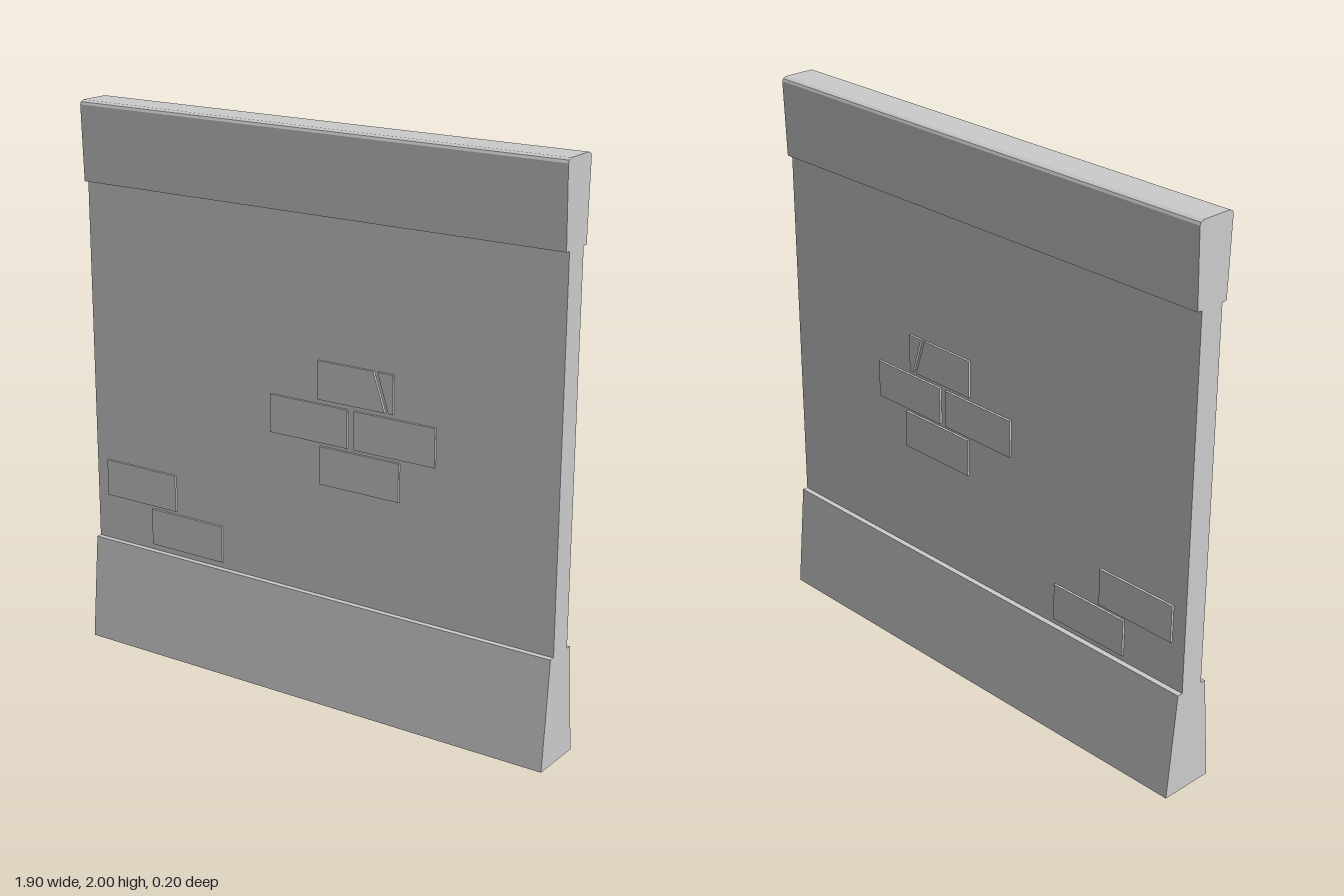
import * as THREE from 'three';

const LENGTH = 1.9;
const material = new THREE.MeshStandardMaterial({ color: 0xcccccc, flatShading: true });

function addMesh(parent, geometry, name) {
  const mesh = new THREE.Mesh(geometry, material);
  mesh.name = name;
  parent.add(mesh);
}

// Extrude a polygon, centred on its depth
function prism(points, depth) {
  const shape = new THREE.Shape(points.map(([x, y]) => new THREE.Vector2(x, y)));
  return new THREE.ExtrudeGeometry(shape, { depth, bevelEnabled: false }).translate(0, 0, -depth / 2);
}

// Symmetric section running along x, given as [half thickness, height] from bottom to top
function course(half) {
  const mirrored = half.map(([z, y]) => [-z, y]).reverse();
  return prism([...half, ...mirrored], LENGTH).rotateY(Math.PI / 2);
}

export function createModel() {
  const wall = new THREE.Group();
  wall.name = 'wall';

  // Flared foot, flat panel and coping with eased top edges
  addMesh(wall, course([[0.1, 0], [0.065, 0.385]]), 'base');
  addMesh(wall, course([[0.045, 0.385], [0.045, 1.715]]), 'panel');
  addMesh(wall, course([[0.064, 1.715], [0.073, 1.985], [0.069, 1.994], [0.057, 2]]), 'coping');

  // Exposed bricks pass through the panel and stand proud on both faces
  const bricks = new THREE.Group();
  bricks.name = 'bricks';
  wall.add(bricks);
  const depth = 0.107;
  const width = 0.315, height = 0.135;
  const corners = [
    [-0.898, 0.556], [-0.693, 0.408],
    [-0.161, 0.938], [0.181, 0.938], [0.044, 0.79],
  ];
  for (const [x, y] of corners) {
    const brick = new THREE.BoxGeometry(width, height, depth);
    addMesh(bricks, brick.translate(x + width / 2, y + height / 2, 0), 'brick');
  }

  // Top brick split by a slanting crack
  const low = 1.089, high = 1.224;
  addMesh(bricks, prism([[0.036, low], [0.302, low], [0.256, high], [0.036, high]], depth), 'crackedBrick');
  addMesh(bricks, prism([[0.316, low], [0.333, low], [0.333, high], [0.274, high]], depth), 'brickChip');

  return wall;
}
